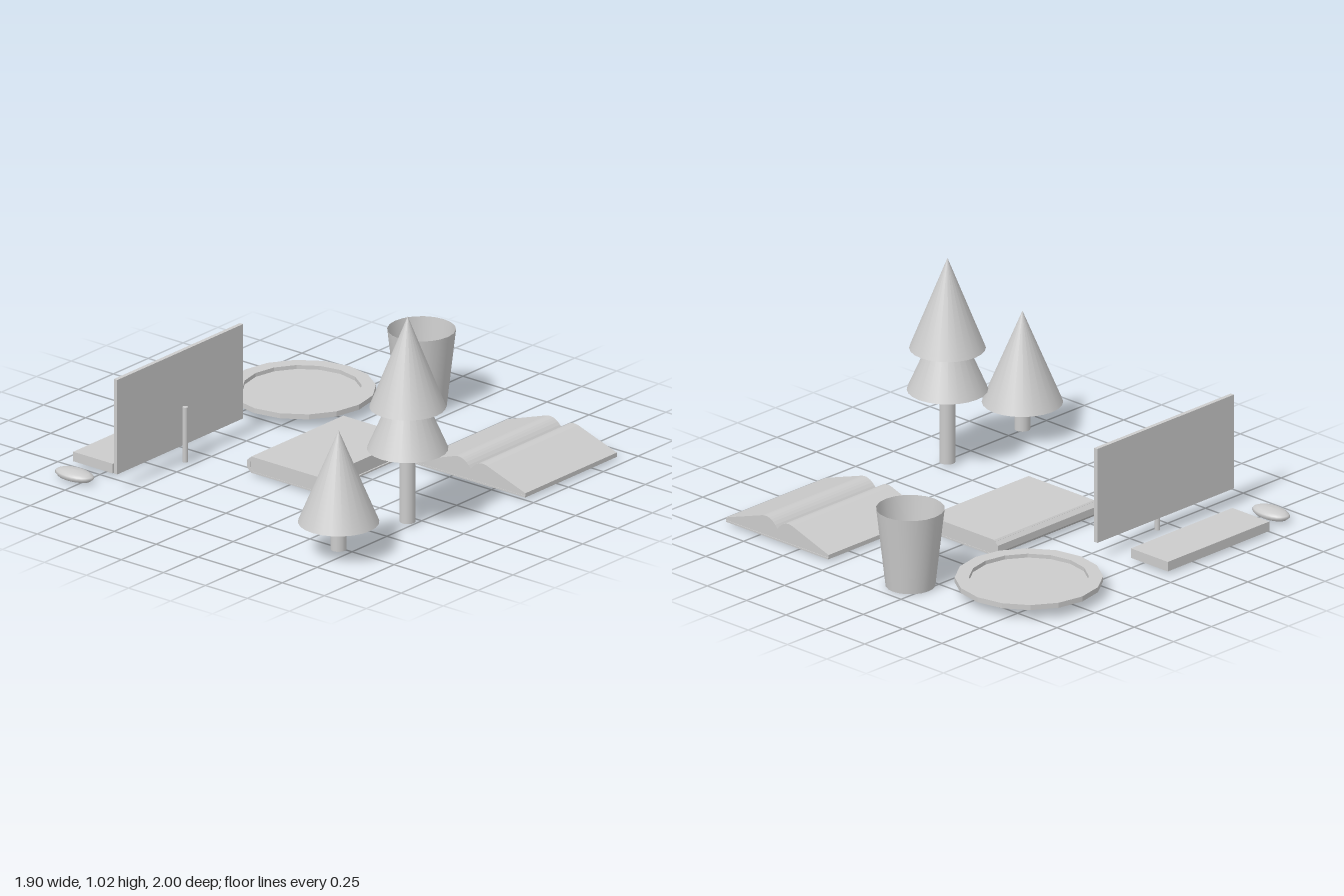
import * as THREE from 'three';

const mat = new THREE.MeshStandardMaterial({ color: 0xcccccc });
const flatMat = new THREE.MeshStandardMaterial({ color: 0xcccccc, flatShading: true });
const thinMat = new THREE.MeshStandardMaterial({ color: 0xcccccc, side: THREE.DoubleSide });

export function createModel() {
  const model = new THREE.Group();

  const add = (name, geometry, x, y, z, material = mat, parent = model) => {
    const mesh = new THREE.Mesh(geometry, material);
    mesh.name = name;
    mesh.position.set(x, y, z);
    parent.add(mesh);
    return mesh;
  };
  const group = (name) => {
    const g = new THREE.Group();
    g.name = name;
    model.add(g);
    return g;
  };
  // Box given by its limits on each axis
  const box = (name, [x0, x1], [y0, y1], [z0, z1], parent = model) =>
    add(name, new THREE.BoxGeometry(x1 - x0, y1 - y0, z1 - z0),
      (x0 + x1) / 2, (y0 + y1) / 2, (z0 + z1) / 2, mat, parent);
  // Upright cylinder, cone or frustum given by its bottom and top heights
  const round = (name, rBottom, rTop, y0, y1, x, z, sides, parent = model) =>
    add(name, new THREE.CylinderGeometry(rTop, rBottom, y1 - y0, sides),
      x, (y0 + y1) / 2, z, mat, parent);
  const extrude = (shape, depth) =>
    new THREE.ExtrudeGeometry(shape, { depth, bevelEnabled: false, curveSegments: 8 });
  const lathe = (points, sides) =>
    new THREE.LatheGeometry(points.map(([r, y]) => new THREE.Vector2(r, y)), sides);

  // Trees: a trunk with one or two stacked cones
  const tall = group('tallTree');
  round('tallTrunk', 0.037, 0.037, 0.01, 0.375, 0.72, 0.315, 16, tall);
  round('lowerFoliage', 0.187, 0, 0.37, 0.8, 0.72, 0.315, 24, tall);
  round('upperFoliage', 0.176, 0, 0.575, 1.02, 0.72, 0.315, 24, tall);
  const small = group('smallTree');
  round('smallTrunk', 0.037, 0.037, 0.025, 0.165, 0.72, 0.81, 16, small);
  round('foliage', 0.187, 0, 0.16, 0.61, 0.72, 0.81, 24, small);

  // Cup: open, tapered, thin wall with a floor
  const cup = group('cup');
  add('cupWall', new THREE.CylinderGeometry(0.158, 0.115, 0.38, 20, 1, true),
    -0.16, 0.19, -0.845, thinMat, cup);
  const floor = add('cupFloor', new THREE.CircleGeometry(0.115, 20),
    -0.16, 0.002, -0.845, thinMat, cup);
  floor.rotation.x = -Math.PI / 2;

  // Plate: raised rim, sunken middle, small foot
  const plate = group('plate');
  add('plateDish', lathe([[0, 0.05], [0.34, 0.05], [0.34, 0.075], [0.275, 0.075],
    [0.275, 0.056], [0, 0.056]], 16), -0.61, 0, -0.53, flatMat, plate);
  round('plateFoot', 0.13, 0.13, 0.02, 0.051, -0.61, -0.53, 16, plate);

  // Closed book: wrapped cover with chamfered spine, pages slightly recessed
  const closed = group('closedBook');
  const cover = new THREE.Shape();
  [[0.2, 0.01], [-0.215, 0.01], [-0.24, 0.033], [-0.24, 0.067], [-0.215, 0.09], [0.2, 0.09],
    [0.2, 0.082], [-0.2, 0.082], [-0.222, 0.064], [-0.222, 0.036], [-0.2, 0.018], [0.2, 0.018]]
    .reverse().forEach(([x, y], i) => (i ? cover.lineTo(x, y) : cover.moveTo(x, y)));
  cover.closePath();
  add('cover', extrude(cover, 0.66), 0, 0, -0.35, mat, closed);
  box('pages', [-0.222, 0.193], [0.016, 0.084], [-0.348, 0.308], closed);

  // Open book: two page halves curving down into the gutter, on a thin cover
  const open = group('openBook');
  const pages = new THREE.Shape();
  pages.moveTo(-0.325, 0.02);
  pages.lineTo(0.325, 0.02);
  pages.lineTo(0.325, 0.033);
  pages.lineTo(0.11, 0.105);
  pages.bezierCurveTo(0.07, 0.122, 0.035, 0.115, 0, 0.07);
  pages.bezierCurveTo(-0.035, 0.115, -0.07, 0.122, -0.11, 0.105);
  pages.lineTo(-0.325, 0.033);
  pages.closePath();
  add('openPages', extrude(pages, 0.655), 0.625, 0, -0.907, mat, open);
  box('openCover', [0.3, 0.95], [0.012, 0.02], [-0.91, -0.25], open);

  // Screen with its post
  box('screen', [-0.573, -0.553], [0.085, 0.55], [-0.04, 0.863]);
  round('screenPost', 0.013, 0.013, 0.01, 0.28, -0.535, 0.397, 12);

  // Keyboard slab
  box('keyboard', [-0.925, -0.69], [0.015, 0.062], [0.06, 0.73]);

  // Mouse: flat-bottomed oval dome
  const mouse = add('mouse', lathe([[0, 0.012], [0.09, 0.012], [0.09, 0.012], [0.107, 0.026],
    [0.1, 0.036], [0.08, 0.045], [0.045, 0.051], [0, 0.053]], 24), -0.797, 0, 0.875);
  mouse.scale.z = 0.56;

  return model;
}
